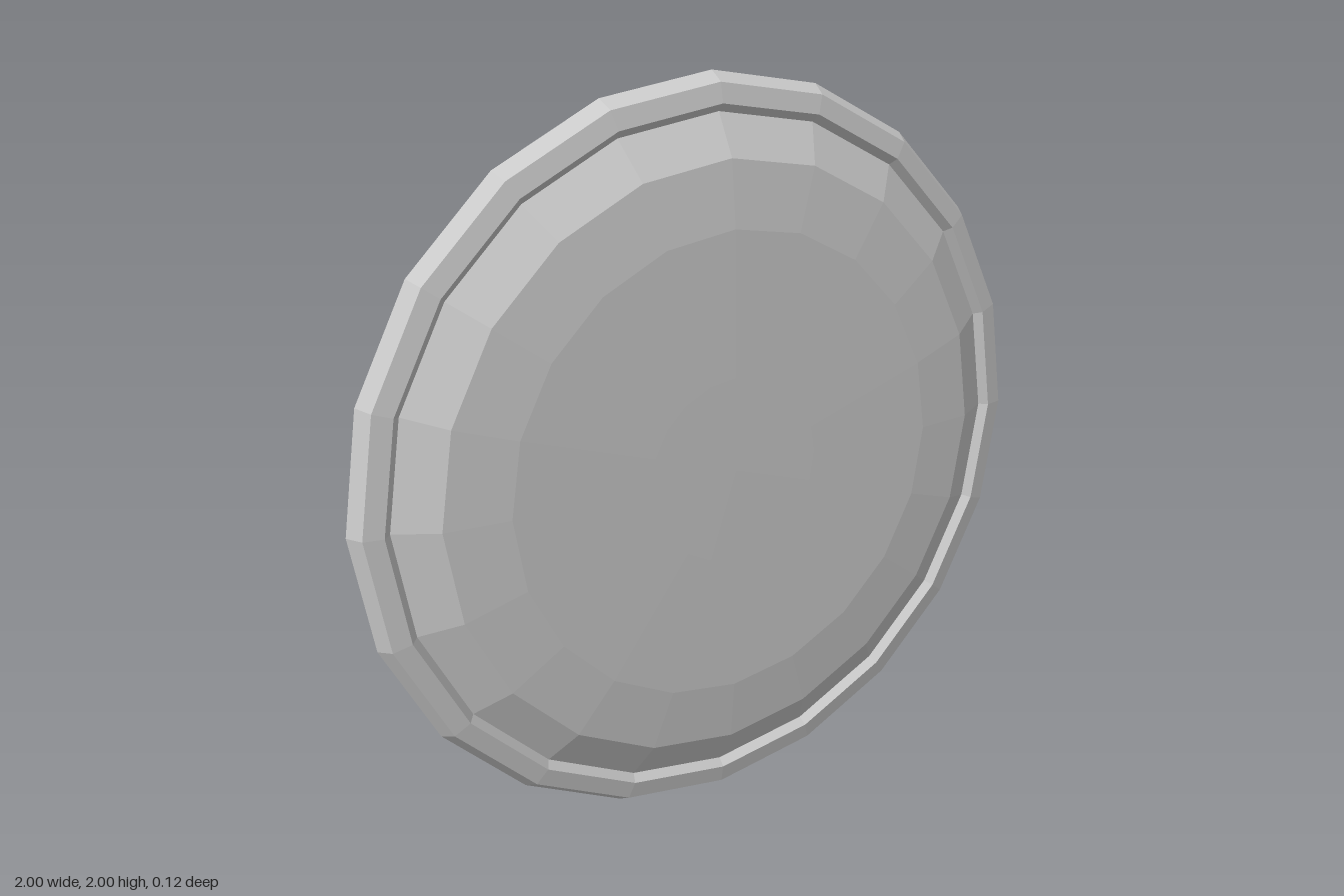
import * as THREE from 'three';

const SIDES = 20;

export function createModel() {
  const model = new THREE.Group();
  model.name = 'roundShallowDish';
  const material = new THREE.MeshStandardMaterial({ color: 0xcccccc, flatShading: true });

  // Turn a [radius, depth] profile around the front-to-back axis
  function turned(name, profile) {
    const points = profile.map(([r, z]) => new THREE.Vector2(r, z));
    const geometry = new THREE.LatheGeometry(points, SIDES);
    geometry.rotateX(Math.PI / 2);
    const mesh = new THREE.Mesh(geometry, material);
    mesh.name = name;
    mesh.position.y = 1;
    model.add(mesh);
  }

  // Shallow dome in front, the hollow behind it parallel to its face
  const dome = [[0.905, -0.02], [0.8, 0.04], [0.63, 0.057], [0.25, 0.06], [0, 0.061]];
  turned('domeFace', dome);
  turned('hollowBack', dome.map(([r, z]) => [r * 0.99, z - 0.014]).reverse());

  // Bevelled rim: back lip, outer edge, front face, groove against the dome
  turned('rim', [
    [0.896, -0.034], [0.925, -0.035], [0.955, -0.061], [1, -0.052],
    [0.975, -0.01], [0.925, 0], [0.905, -0.02],
  ]);

  return model;
}
